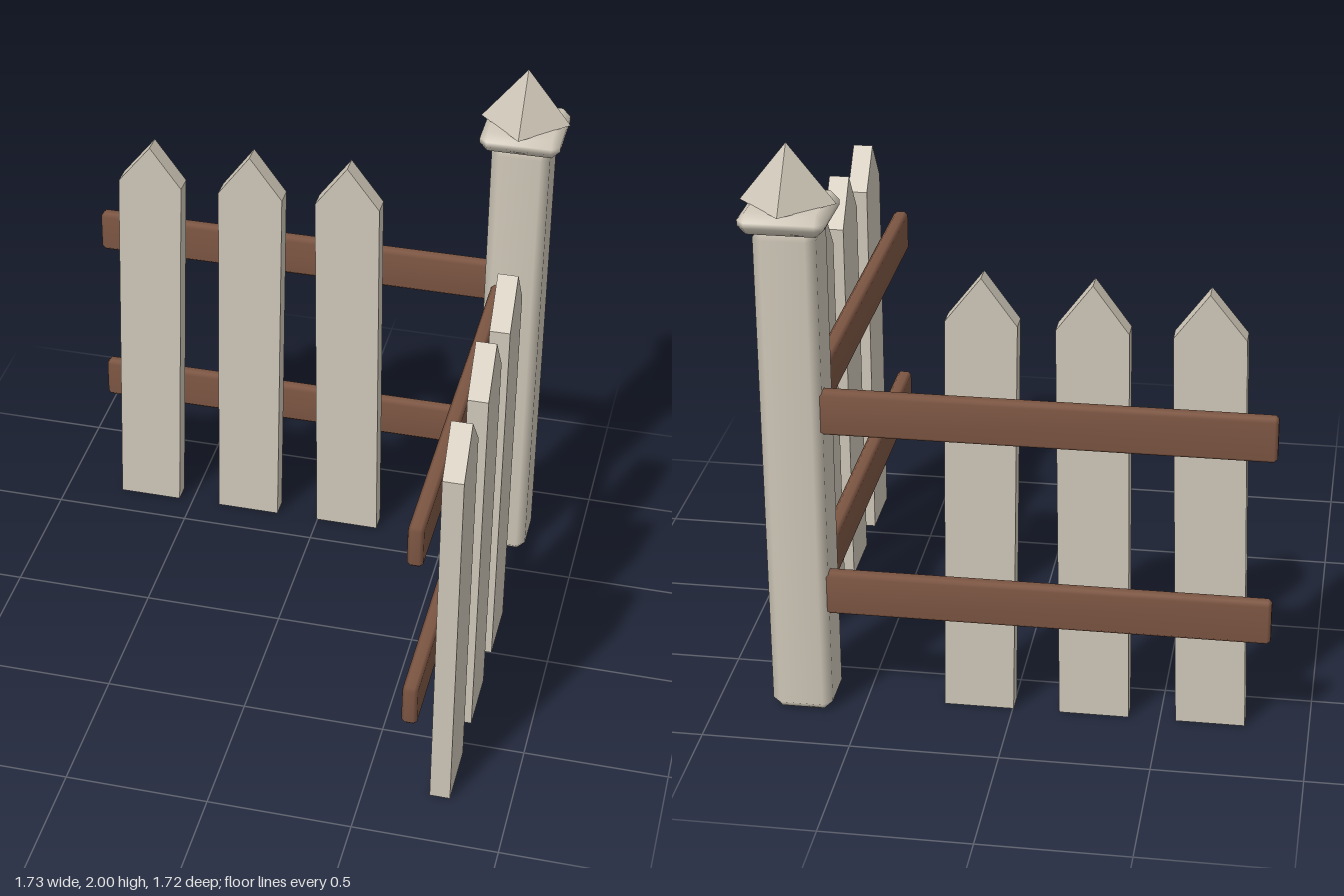
import * as THREE from 'three';
import { mergeVertices } from 'three/addons/utils/BufferGeometryUtils.js';
import { ConvexGeometry } from 'three/addons/geometries/ConvexGeometry.js';

const paint = new THREE.MeshStandardMaterial({ color: 0xcfc7b8 });
paint.name = 'weathered white paint';
const wood = new THREE.MeshStandardMaterial({ color: 0x7d5643 });
wood.name = 'brown wood';

const PICKET_DEPTH = 0.07;

// Box with single-segment chamfers and shared, smooth normals
function chamferBox(w, h, d, b) {
  const half = [w / 2, h / 2, d / 2];
  const points = [];
  for (const sx of [-1, 1]) for (const sy of [-1, 1]) for (const sz of [-1, 1]) {
    for (let axis = 0; axis < 3; axis++) {
      const p = [sx, sy, sz].map((s, i) => s * (i === axis ? half[i] : half[i] - b));
      points.push(new THREE.Vector3(...p));
    }
  }
  const geo = new ConvexGeometry(points);
  geo.deleteAttribute('normal');
  const merged = mergeVertices(geo, 1e-5);
  merged.computeVertexNormals();
  return merged;
}

function addMesh(parent, name, geo, mat, x, y, z) {
  const mesh = new THREE.Mesh(geo, mat);
  mesh.name = name;
  mesh.position.set(x, y, z);
  parent.add(mesh);
  return mesh;
}

// Pointed board drawn as along-fence offset against height
function picketGeometry({ bottom, shoulder, shoulderY, tip }) {
  const shape = new THREE.Shape([
    new THREE.Vector2(bottom[0], 0),
    new THREE.Vector2(bottom[1], 0),
    new THREE.Vector2(shoulder[1], shoulderY[1]),
    new THREE.Vector2(tip[0], tip[1]),
    new THREE.Vector2(shoulder[0], shoulderY[0]),
  ]);
  return new THREE.ExtrudeGeometry(shape, { depth: PICKET_DEPTH, bevelEnabled: false });
}

const backPickets = [
  { bottom: [-0.786, -0.553], shoulder: [-0.752, -0.518], shoulderY: [1.405, 1.4], tip: [-0.632, 1.555] },
  { bottom: [-0.394, -0.159], shoulder: [-0.379, -0.143], shoulderY: [1.405, 1.405], tip: [-0.262, 1.565] },
  { bottom: [-0.003, 0.233], shoulder: [-0.021, 0.214], shoulderY: [1.41, 1.415], tip: [0.095, 1.57] },
];
const sidePickets = [
  { bottom: [0.55, 0.786], shoulder: [0.571, 0.807], shoulderY: [1.357, 1.342], tip: [0.693, 1.495] },
  { bottom: [0.157, 0.394], shoulder: [0.16, 0.394], shoulderY: [1.37, 1.37], tip: [0.28, 1.525] },
  { bottom: [-0.235, 0], shoulder: [-0.235, 0], shoulderY: [1.384, 1.384], tip: [-0.116, 1.54] },
];

export function createModel() {
  const model = new THREE.Group();
  model.name = 'fenceCorner';

  // Corner post with collar and pyramid cap
  const post = new THREE.Group();
  post.name = 'cornerPost';
  post.position.set(0.705, 0, -0.705);
  model.add(post);
  addMesh(post, 'postShaft', chamferBox(0.205, 1.735, 0.205, 0.03), paint, 0, 0.8675, 0);
  addMesh(post, 'postCollar', chamferBox(0.28, 0.075, 0.28, 0.028), paint, 0, 1.767, 0);
  const cap = new THREE.ConeGeometry(0.156, 0.197, 4).toNonIndexed();
  cap.computeVertexNormals();
  addMesh(post, 'postCap', cap, paint, 0, 1.9015, 0);

  // Rails run out of the post along both sides
  const railLength = 1.53;
  for (const [level, y] of [['lower', 0.445], ['upper', 1.105]]) {
    addMesh(model, level + 'BackRail', chamferBox(railLength, 0.153, 0.053, 0.012), wood,
      -0.865 + railLength / 2, y, -0.757);
    addMesh(model, level + 'SideRail', chamferBox(0.053, 0.153, railLength, 0.012), wood,
      0.657, y, 0.863 - railLength / 2);
  }

  // Pickets stand just outside the rails
  backPickets.forEach((p, i) => {
    addMesh(model, 'backPicket' + (i + 1), picketGeometry(p), paint, 0, 0, -0.69);
  });
  sidePickets.forEach((p, i) => {
    const picket = addMesh(model, 'sidePicket' + (i + 1), picketGeometry(p), paint, 0.795, 0, 0);
    picket.rotation.y = -Math.PI / 2;
  });

  return model;
}
